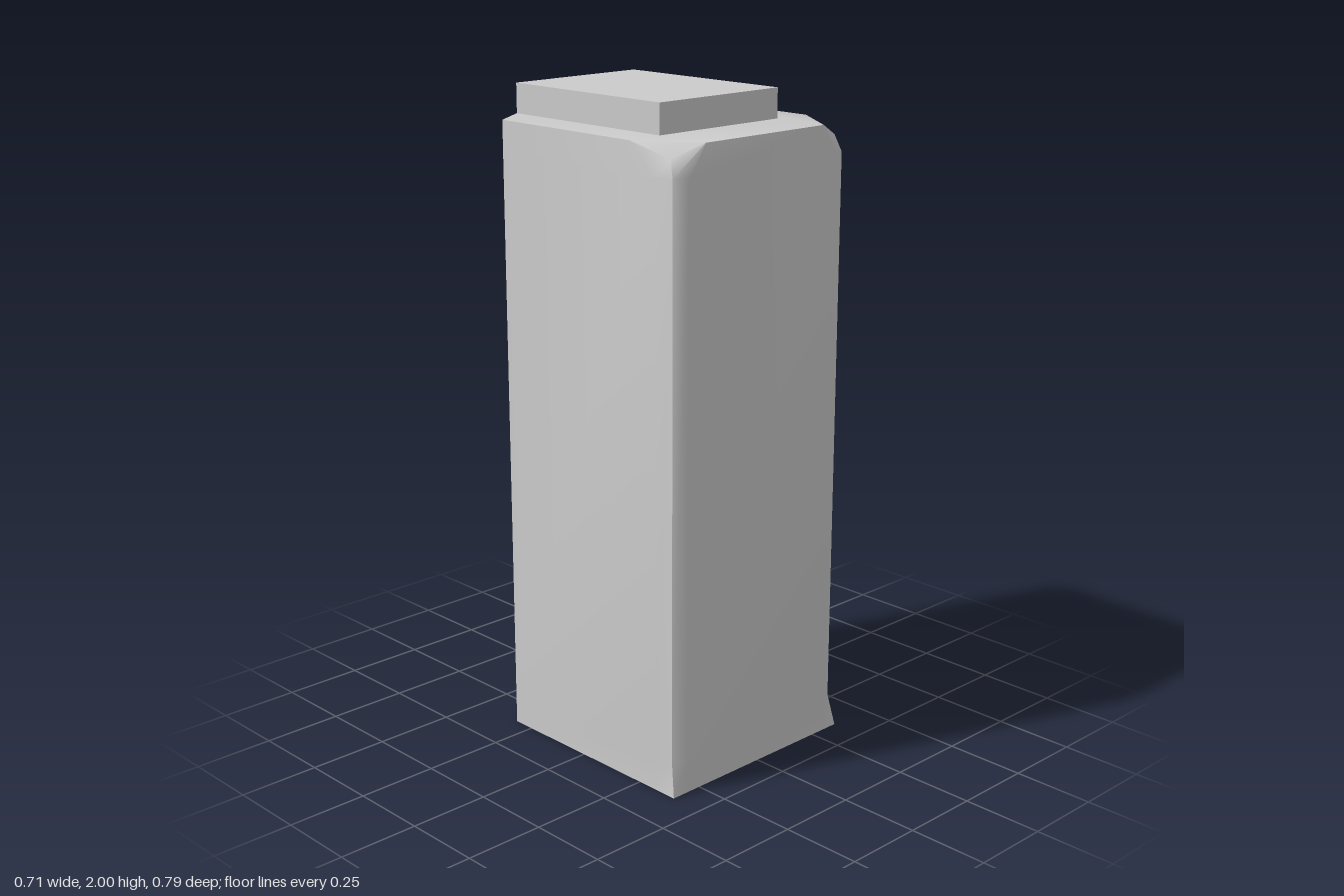
import * as THREE from 'three';
import { toCreasedNormals } from 'three/addons/utils/BufferGeometryUtils.js';

// One level of the body: half outline [x, y, z] from front to back, mirrored to close the loop
function ring(front, corner, side, y) {
  const half = [front, corner, side, [0.355, y, -0.32], [0.237, y, -0.396]];
  const mirrored = half.map(([x, py, z]) => [-x, py, z]).reverse();
  return [...half, ...mirrored];
}

function bodyGeometry() {
  const middle = (y) => ring([0.3, y, 0.395], [0.342, y, 0.374], [0.355, y, 0.31], y);
  const levels = [
    ring([0.3, 0, 0.395], [0.355, 0, 0.395], [0.355, 0, 0.31], 0), // square foot corners
    middle(0.1),
    middle(1.82),
    ring([0.237, 1.91, 0.395], [0.33, 1.87, 0.355], [0.355, 1.91, 0.22], 1.91), // dropped top corners
  ];
  const n = levels[0].length;
  const index = [];
  // walls
  for (let l = 0; l < levels.length - 1; l++) {
    for (let i = 0; i < n; i++) {
      const a = l * n + i, b = l * n + (i + 1) % n;
      index.push(a, b, b + n, a, b + n, a + n);
    }
  }
  // underside
  for (let i = 1; i < n - 1; i++) index.push(0, i + 1, i);
  // top: two sloping corners and the flat middle
  const t = (levels.length - 1) * n;
  index.push(t, t + 1, t + 2, t + 7, t + 8, t + 9);
  const flat = [0, 2, 3, 4, 5, 6, 7, 9];
  for (let i = 1; i < flat.length - 1; i++) index.push(t + flat[0], t + flat[i], t + flat[i + 1]);

  const geometry = new THREE.BufferGeometry();
  geometry.setAttribute('position', new THREE.Float32BufferAttribute(levels.flat(2), 3));
  geometry.setIndex(index);
  return toCreasedNormals(geometry, THREE.MathUtils.degToRad(40));
}

export function createModel() {
  const group = new THREE.Group();
  const material = new THREE.MeshStandardMaterial({ color: 0xcccccc });

  const body = new THREE.Mesh(bodyGeometry(), material);
  body.name = 'body';

  // flat block on top, flush with the back
  const cap = new THREE.Mesh(new THREE.BoxGeometry(0.474, 0.09, 0.611), material);
  cap.name = 'topBlock';
  cap.position.set(0, 1.955, -0.0905);

  group.add(body, cap);
  return group;
}
